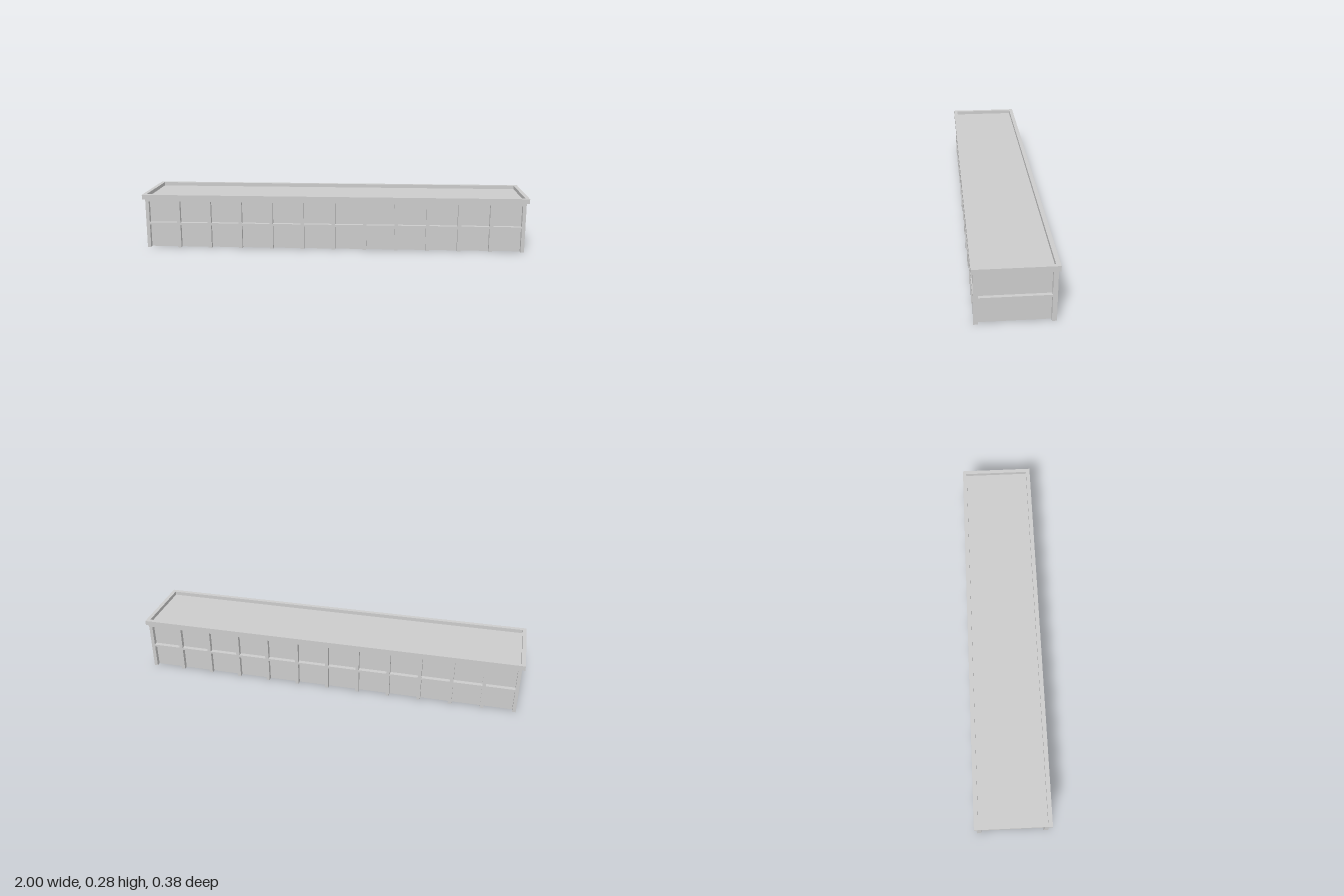
import * as THREE from 'three';

const material = new THREE.MeshStandardMaterial({ color: 0xcccccc, flatShading: true });

// Wall core, outer frame and cornice half sizes
const CORE_X = 0.968, CORE_Z = 0.16;
const OUT_X = 0.986, OUT_Z = 0.182;
const WALL_TOP = 0.26, TOP = 0.283;
const BAYS = 12, POST_W = OUT_X - CORE_X, POST_D = OUT_Z - CORE_Z;

export function createModel() {
  const group = new THREE.Group();

  // Box given by its centre in x and z, and its bottom and top in y
  const box = (name, w, d, y0, y1, x, z) => {
    const mesh = new THREE.Mesh(new THREE.BoxGeometry(w, y1 - y0, d), material);
    mesh.position.set(x, (y0 + y1) / 2, z);
    mesh.name = name;
    group.add(mesh);
  };

  // Recessed walls with the sunken flat roof on top
  box('wallCore', CORE_X * 2, CORE_Z * 2, 0, WALL_TOP, 0, 0);

  // Posts along the front and back, including the corners
  const reach = OUT_X - POST_W / 2;
  for (const side of [1, -1]) {
    const z = side * (OUT_Z - POST_D / 2);
    for (let i = 0; i <= BAYS; i++) {
      const x = -reach + (2 * reach * i) / BAYS;
      box('post', POST_W, POST_D, 0, WALL_TOP, x, z);
    }
  }

  // Middle and upper rails around all four walls
  for (const [name, y0, y1] of [['middleRail', 0.122, 0.134], ['upperRail', 0.247, WALL_TOP]]) {
    for (const side of [1, -1]) {
      box(name, OUT_X * 2, POST_D, y0, y1, 0, side * (OUT_Z - POST_D / 2));
      box(name, POST_W, CORE_Z * 2, y0, y1, side * (OUT_X - POST_W / 2), 0);
    }
  }

  // Cornice: a rectangular ring standing above the roof
  const rectangle = (Type, hx, hz) => new Type([
    new THREE.Vector2(-hx, -hz), new THREE.Vector2(hx, -hz),
    new THREE.Vector2(hx, hz), new THREE.Vector2(-hx, hz),
  ]);
  const ring = rectangle(THREE.Shape, 1, 0.19);
  ring.holes.push(rectangle(THREE.Path, 0.98, 0.169));
  const geometry = new THREE.ExtrudeGeometry(ring, { depth: TOP - 0.258, bevelEnabled: false });
  geometry.rotateX(-Math.PI / 2);
  const cornice = new THREE.Mesh(geometry, material);
  cornice.position.y = 0.258;
  cornice.name = 'cornice';
  group.add(cornice);

  // Roof deck filling the ring
  box('roofDeck', 0.981 * 2, 0.17 * 2, 0.25, 0.264, 0, 0);

  return group;
}
